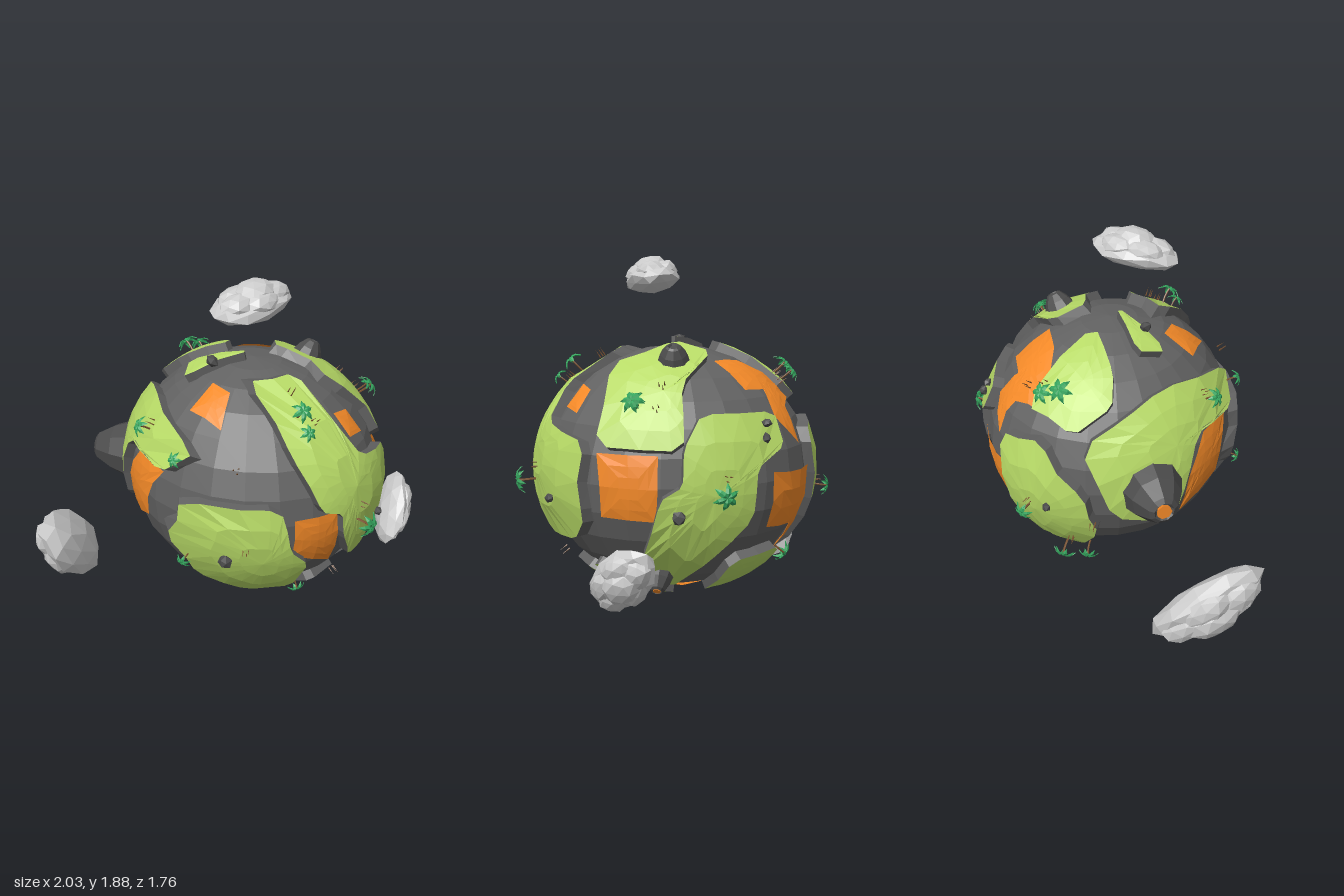
import * as THREE from 'three';

const V = (x, y, z) => new THREE.Vector3(x, y, z);
const UP = V(0, 1, 0);
const SIZE = V(0.72, 0.7, 0.78);               // semi-axes of the land surface
const CENTRE = V(0.08, 0.76, 0.04);
const BASE = 0.935, LAVA = 0.95;               // fractions of the land radius

const paint = (color) => new THREE.MeshStandardMaterial({ color, flatShading: true, side: THREE.DoubleSide });
const mats = {
  rock: paint(0x626262), land: paint(0xb7da66), lava: paint(0xf58a28),
  cloud: paint(0xbdbdbd), leaf: paint(0x35a55e), trunk: paint(0x7a5230), stone: paint(0x4c4c4c),
};

// Sides from which points are laid out: bearing and elevation in degrees
const SIDES = { front: [0, 0], right: [90, 0], top: [0, 90], bottom: [0, -90], backLeft: [215, 22], backRight: [145, -25] };

// Point of the planet's surface at (u, v) as laid out from a side; k scales the radius
function onPlanet(side, u, v, k = 1) {
  const [a, e] = SIDES[side].map(THREE.MathUtils.degToRad);
  const right = V(Math.cos(a), 0, -Math.sin(a));
  const out = V(Math.sin(a) * Math.cos(e), Math.sin(e), Math.cos(a) * Math.cos(e));
  const up = out.clone().cross(right);
  const b = right.multiplyScalar(u).addScaledVector(up, v).divide(SIZE);
  const d = out.divide(SIZE);
  const ab = d.dot(b), dd = d.lengthSq();
  const w = (-ab + Math.sqrt(Math.max(0, ab * ab - dd * (b.lengthSq() - 1)))) / dd;
  return b.addScaledVector(d, w).normalize().multiply(SIZE).multiplyScalar(k);
}

function meshFrom(points, mat, name) {
  const g = new THREE.BufferGeometry().setFromPoints(points);
  g.computeVertexNormals();
  const m = new THREE.Mesh(g, mat);
  m.name = name;
  return m;
}

// Curved patch bounded by an outline; raised ones get cut corners and a sloping rock edge
function patch(side, pts, raised) {
  let line = pts.map(([x, y]) => new THREE.Vector2(x, y));
  if (THREE.ShapeUtils.isClockWise(line)) line.reverse();
  const c = line.reduce((s, p) => s.add(p), new THREE.Vector2()).divideScalar(line.length);
  const next = (i) => line[(i + 1) % line.length];
  if (raised) line = line.flatMap((p, i) => [p.clone().lerp(next(i), .14), p.clone().lerp(next(i), .86)]);
  line = line.flatMap((p, i) => {
    const n = Math.ceil(p.distanceTo(next(i)) / 0.18);
    return Array.from({ length: n }, (_, j) => p.clone().lerp(next(i), j / n));
  });
  const at = (p, t, k) => onPlanet(side, c.x + (p.x - c.x) * t, c.y + (p.y - c.y) * t, k);
  const k = raised ? 1 : LAVA, rings = 3, top = [], wall = [];
  line.forEach((p, i) => {
    const q = next(i);
    for (let r = 0; r < rings; r++) {
      const t0 = r / rings, t1 = (r + 1) / rings;
      const A = at(p, t0, k), B = at(p, t1, k), C = at(q, t1, k), D = at(q, t0, k);
      top.push(A, B, C);
      if (r) top.push(A, C, D);
    }
    const A = at(p, 1, k), B = at(p, 1.05, 0.9), C = at(q, 1.05, 0.9), D = at(q, 1, k);
    wall.push(A, B, C, A, C, D);
  });
  const g = new THREE.Group();
  g.name = raised ? 'landPlate' : 'lavaField';
  g.add(meshFrom(top, raised ? mats.land : mats.lava, raised ? 'landTop' : 'lavaSurface'));
  if (raised) g.add(meshFrom(wall, mats.rock, 'landEdge'));
  return g;
}

const LANDS = [
  ['front', [[-.23, .64], [.03, .65], [.06, .46], [.16, .28], [.48, .21], [.48, -.18], [.36, -.31], [.11, -.32], [-.02, -.1], [-.04, .04], [-.16, .08], [-.25, .37]]],
  ['front', [[-.68, .12], [-.36, .13], [-.31, -.13], [-.2, -.24], [-.18, -.47], [-.34, -.53], [-.56, -.41], [-.7, -.15]]],
  ['front', [[-.03, -.5], [.21, -.51], [.2, -.65], [-.04, -.67]]],
  ['right', [[-.5, .2], [-.38, .58], [-.03, .69], [.14, .64], [-.06, .5], [-.08, .19]]],
  ['right', [[.02, .36], [.42, .35], [.46, .18], [.3, .1], [.28, -.17], [.06, -.4], [-.1, -.58], [-.27, -.4], [-.2, -.05], [-.09, .02], [-.08, .2]]],
  ['right', [[.1, -.68], [.2, -.41], [.5, -.38], [.38, -.61]]],
  ['right', [[-.5, -.44], [-.27, -.53], [-.36, -.6]]],
  ['bottom', [[-.05, .38], [.22, .38], [.28, .06], [.02, .02]]],
  ['backRight', [[.1, .51], [.36, .52], [.59, .24], [.59, -.05], [.3, -.35], [.19, .1]]],
  ['top', [[-.25, .53], [-.1, .68], [.2, .61], [0, .18], [-.2, .4]]],
  ['top', [[-.38, .12], [-.26, .23], [-.02, -.03]]],
  ['backLeft', [[-.28, .02], [.18, .27], [.62, .28], [.61, .07], [.35, .02], [.21, -.48], [-.13, -.39]]],
];
const LAVAS = [
  ['front', [[-.29, .04], [-.03, .04], [0, -.34], [-.28, -.2]]],
  ['front', [[.13, .49], [.25, .47], [.3, .35], [.17, .37]]],
  ['right', [[-.51, .17], [-.21, .17], [-.22, -.18], [-.49, -.17]]],
  ['right', [[.4, .56], [.54, .43], [.62, .17], [.46, .33]]],
  ['top', [[.09, .64], [.35, .55], [.37, .42], [.45, .3], [.3, .16], [.19, .32]]],
  ['top', [[-.49, -.05], [-.32, -.04], [-.31, -.18], [-.46, -.29]]],
  ['backRight', [[-.25, .34], [.14, .35], [.2, -.18], [.08, -.18], [0, .04], [-.23, .04]]],
  ['backRight', [[-.18, -.55], [.3, -.53], [.3, -.61], [-.11, -.65]]],
  ['backLeft', [[.42, -.01], [.6, .06], [.53, -.3], [.28, -.49], [.32, -.25]]],
];

// Uneven lump: vertices pushed in and out by a smooth rule
function lump(r, detail, rough, seed) {
  const g = new THREE.IcosahedronGeometry(r, detail), p = g.attributes.position;
  for (let i = 0; i < p.count; i++) {
    const v = V(0, 0, 0).fromBufferAttribute(p, i);
    v.multiplyScalar(1 + rough * Math.sin((v.x * 3.1 + v.y * 4.3 + v.z * 5.7) / r + seed));
    p.setXYZ(i, v.x, v.y, v.z);
  }
  g.computeVertexNormals();
  return g;
}

function part(parent, geo, mat, name, x = 0, y = 0, z = 0) {
  const m = new THREE.Mesh(geo, mat);
  m.name = name;
  m.position.set(x, y, z);
  parent.add(m);
  return m;
}

function volcano(r, h, lavaTop) {
  const g = new THREE.Group();
  g.name = 'volcano';
  const profile = [[1.1, -.3], [.85, .35], [.5, .9], [.34, 1], [.24, .85], [0, .85]];
  part(g, new THREE.LatheGeometry(profile.map(([x, y]) => new THREE.Vector2(x * r, y * h)), 9), mats.stone, 'cone');
  if (lavaTop) part(g, new THREE.CylinderGeometry(r * .26, r * .22, h * .12, 7), mats.lava, 'craterLava', 0, h * .94);
  return g;
}

function palm(size) {
  const g = new THREE.Group();
  g.name = 'palm';
  const bend = new THREE.QuadraticBezierCurve3(V(0, -.02, 0), V(.012, .04, 0), V(0, .085, 0));
  part(g, new THREE.TubeGeometry(bend, 4, .006, 5), mats.trunk, 'trunk');
  // Drooping fronds, folded along the midrib
  const rib = (t) => V(.065 * t, .085 + .04 * t - .065 * t * t, 0);
  const edge = (t, s) => rib(t).add(V(0, -.007, s * .016 * Math.sin(Math.PI * (.1 + .9 * t))));
  for (let i = 0; i < 6; i++) {
    const tri = [];
    for (let j = 0; j < 3; j++) for (const s of [-1, 1]) {
      const a = j / 3, b = (j + 1) / 3;
      const A = rib(a), B = rib(b), C = edge(b, s), D = edge(a, s);
      tri.push(...(s > 0 ? [A, D, C, A, C, B] : [A, C, D, A, B, C]));
    }
    const frond = meshFrom(tri, mats.leaf, 'frond');
    frond.rotation.y = i * Math.PI / 3;
    g.add(frond);
  }
  g.scale.setScalar(size);
  return g;
}

function tuft() {
  const g = new THREE.Group();
  g.name = 'grassTuft';
  for (let i = 0; i < 4; i++)
    part(g, new THREE.ConeGeometry(.004, .05, 4), mats.trunk, 'blade', Math.cos(i * 2.1) * .016, .015, Math.sin(i * 2.1) * .016);
  return g;
}

// Low cloud, long along one direction, with its flat side towards the planet
function cloud(pos, along, length) {
  const g = new THREE.Group();
  g.name = 'cloud';
  part(g, lump(1, 1, .05, 0), mats.cloud, 'cloudBody').scale.set(.5, .15, .3);
  part(g, lump(1, 1, .05, 1), mats.cloud, 'puff', .02, .1).scale.set(.25, .16, .2);
  for (let i = 0; i < 5; i++) {
    const a = i * Math.PI * .4 + .3;
    part(g, lump(1, 1, .05, i + 2), mats.cloud, 'puff', Math.cos(a) * .21, .06, Math.sin(a) * .12).scale.set(.23, .13, .17);
  }
  const up = pos.clone().sub(CENTRE).normalize();
  const x = along.clone().addScaledVector(up, -along.dot(up)).normalize();
  g.quaternion.setFromRotationMatrix(new THREE.Matrix4().makeBasis(x, up, x.clone().cross(up)));
  g.position.copy(pos);
  g.scale.setScalar(length);
  return g;
}

export function createModel() {
  const model = new THREE.Group();
  model.name = 'tinyPlanet';
  const planet = new THREE.Group();
  planet.name = 'planet';
  planet.position.copy(CENTRE);
  model.add(planet);

  part(planet, new THREE.SphereGeometry(1, 24, 14), mats.rock, 'crust').scale.copy(SIZE).multiplyScalar(BASE);
  LANDS.forEach(([side, pts]) => planet.add(patch(side, pts, true)));
  LAVAS.forEach(([side, pts]) => planet.add(patch(side, pts, false)));

  // Stand an object upright on the ground
  const plant = (obj, side, u, v, k = 1) => {
    obj.position.copy(onPlanet(side, u, v, k));
    obj.quaternion.setFromUnitVectors(UP, obj.position.clone().normalize());
    planet.add(obj);
  };

  plant(volcano(.16, .17, true), 'backLeft', .08, -.26);
  plant(volcano(.08, .1, true), 'right', -.17, -.51, .96);
  plant(volcano(.08, .07, false), 'top', .34, -.07);

  [['front', .3, -.1], ['front', -.55, -.2], ['right', .35, .23], ['right', -.11, -.13],
    ['top', .56, .36], ['top', -.23, .06], ['backRight', .43, .2]].forEach(([side, u, v], i) => {
    const stone = new THREE.Mesh(lump(.025 + .012 * (i % 2), 0, .2, i), mats.stone);
    stone.name = 'boulder';
    plant(stone, side, u, v, 1.01);
  });

  // Palms, tallest first, each with a tuft of grass a little way off
  [['front', .08, -.04], ['right', .1, -.02], ['right', .56, .5], ['backLeft', -.33, -.62], ['right', -.29, .39],
    ['front', -.12, .52], ['top', .09, .57], ['backLeft', .43, .16], ['backRight', .33, .19], ['backRight', .47, -.2],
    ['front', .03, -.63], ['top', .53, -.28], ['top', -.14, -.58], ['front', -.63, .3], ['front', -.64, -.24]]
    .forEach(([side, u, v], i) => {
      plant(palm(1.1 - .03 * i), side, u, v);
      plant(tuft(), side, u * .85 + .05, v * .8 + .07);
    });

  model.add(cloud(V(-.02, 1.765, .15), V(1, 0, 0), .49));
  model.add(cloud(V(-.77, .235, -.62), V(.43, -.47, -.46), .69));
  model.add(cloud(V(.85, .35, .43), V(.28, .33, -.2), .46));
  return model;
}
